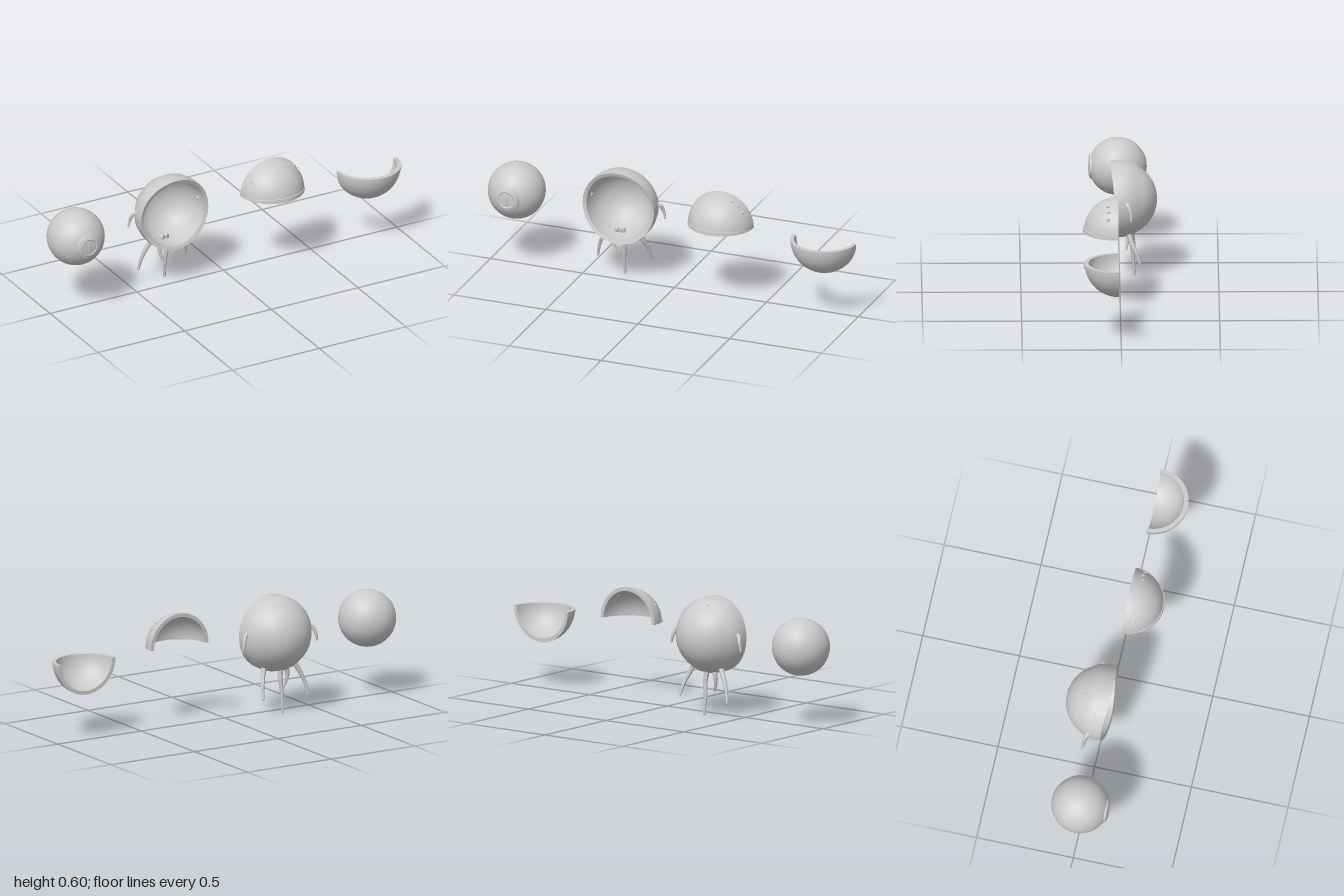
import * as THREE from 'three';
import { toCreasedNormals } from 'three/addons/utils/BufferGeometryUtils.js';

const smooth = new THREE.MeshStandardMaterial({ color: 0xcccccc, side: THREE.DoubleSide });
const flat = new THREE.MeshStandardMaterial({ color: 0xcccccc, flatShading: true });

function add(parent, name, geometry, material = smooth) {
  const mesh = new THREE.Mesh(geometry, material);
  mesh.name = name;
  parent.add(mesh);
  return mesh;
}

function arc(radius, from, to, steps) {
  return Array.from({ length: steps + 1 }, (_, i) => {
    const t = from + (to - from) * i / steps;
    return new THREE.Vector2(Math.max(0, radius * Math.sin(t)), -radius * Math.cos(t));
  });
}

// Lathe turned so that its axis points to the front
const latheZ = (points, segments) => new THREE.LatheGeometry(points, segments).rotateX(Math.PI / 2);

// Quarter-sphere lid: a closed wall section swept between poles on the x axis
function lidGeometry() {
  const section = [[0, 0.178], [0.12, 0.178], [0.13, 0.173]];
  const steps = 10, sweep = 28;
  for (let i = 1; i <= steps; i++) section.push([0.13 + (Math.PI / 2 - 0.13) * i / steps, 0.173]);
  for (let i = steps; i >= 0; i--) section.push([Math.PI / 2 * i / steps, 0.154]);
  const n = section.length, pos = [], index = [];
  for (let i = 0; i <= sweep; i++) {
    const b = (i / sweep - 0.5) * Math.PI;
    for (const [a, r] of section) {
      const rr = r > 0.175 ? 0.173 + 0.005 * Math.cos(b) : r;
      pos.push(rr * Math.sin(b), rr * Math.cos(b) * Math.sin(a), rr * Math.cos(b) * Math.cos(a));
    }
  }
  for (let i = 0; i < sweep; i++) for (let j = 0; j < n; j++) {
    const k = (j + 1) % n, p = i * n, q = p + n;
    index.push(p + j, q + j, q + k, p + j, q + k, p + k);
  }
  const g = new THREE.BufferGeometry();
  g.setAttribute('position', new THREE.Float32BufferAttribute(pos, 3));
  g.setIndex(index);
  return toCreasedNormals(g, 0.6);
}

// Faceted lump set through a wall, facing outward along its direction
function wart(parent, direction, radius, size) {
  const mesh = add(parent, 'wart', new THREE.IcosahedronGeometry(1, 0), flat);
  mesh.position.set(...direction).setLength(radius);
  mesh.lookAt(mesh.position.clone().multiplyScalar(2));
  mesh.scale.set(size, size * 0.65, 0.017);
}

// Tapered six-sided tentacle along a curve
function tentacle(parent, name, points, radius) {
  const curve = new THREE.CatmullRomCurve3(points.map(p => new THREE.Vector3(...p)));
  const rings = 6, sides = 6;
  const g = new THREE.TubeGeometry(curve, rings, 1, sides);
  const pos = g.attributes.position, v = new THREE.Vector3();
  for (let i = 0; i <= rings; i++) {
    const c = curve.getPointAt(i / rings);
    const r = radius * (1 - 0.58 * i / rings);
    for (let j = 0; j <= sides; j++) {
      const k = i * (sides + 1) + j;
      v.fromBufferAttribute(pos, k).sub(c).multiplyScalar(r).add(c);
      pos.setXYZ(k, v.x, v.y, v.z);
    }
  }
  add(parent, name, g, flat);
  for (const [t, r] of [[0, radius], [1, radius * 0.42]]) {
    const cap = add(parent, name + 'End', new THREE.IcosahedronGeometry(r * 0.95, 0), flat);
    cap.position.copy(curve.getPointAt(t));
  }
}

function group(parent, name, x, y, z) {
  const g = new THREE.Group();
  g.name = name;
  g.position.set(x, y, z);
  parent.add(g);
  return g;
}

export function createModel() {
  const model = new THREE.Group();
  model.name = 'eyeParts';

  // Eyeball with a raised iris and a slit pupil
  const eye = group(model, 'eyeball', -0.855, 0.405, 0.005);
  const profile = arc(0.147, 0, Math.PI - 0.45, 22);
  for (const [r, z] of [[0.062, 0.141], [0.044, 0.148], [0.039, 0.145], [0.02, 0.147], [0, 0.147]])
    profile.push(new THREE.Vector2(r, z));
  add(eye, 'eyeballSurface', toCreasedNormals(latheZ(profile, 36), 0.5));
  const pupil = add(eye, 'pupil', new THREE.SphereGeometry(1, 12, 8));
  pupil.scale.set(0.008, 0.034, 0.004);
  pupil.position.z = 0.146;

  // Hollow socket, open to the front, its rim swept back at the sides
  const socket = group(model, 'socket', -0.295, 0.404, 0);
  const wall = [
    ...arc(0.19, 0, 1.1, 7),
    ...[[0.186, -0.06], [0.194, -0.025], [0.195, 0.01], [0.194, 0.046], [0.176, 0.04], [0.176, 0]]
      .map(p => new THREE.Vector2(...p)),
    ...arc(0.172, 1.45, 0, 9),
  ];
  const shell = latheZ(wall, 32);
  const pos = shell.attributes.position;
  for (let i = 0; i < pos.count; i++) {
    const x = pos.getX(i), y = pos.getY(i), z = pos.getZ(i);
    if (z > 0.02) pos.setZ(i, z - 0.02 * x * x / (x * x + y * y));
  }
  add(socket, 'socketShell', toCreasedNormals(shell, 0.6));
  const socketWarts = [
    [0.12, 0.148, -0.02], [0.06, 0.165, -0.05], [0.16, 0.085, -0.02],
    [0.03, 0.16, -0.08],
  ];
  for (const [x, y, z] of socketWarts)
    for (const s of [-1, 1]) wart(socket, [s * x, y, z], 0.182, 0.015);

  // Tentacles below and beside the socket
  const bottom = [
    [[-0.085, -0.15, -0.05], [-0.115, -0.2, -0.06], [-0.14, -0.26, -0.07], [-0.153, -0.325, -0.08]],
    [[-0.035, -0.15, -0.045], [-0.05, -0.2, -0.045], [-0.048, -0.24, -0.04], [-0.035, -0.28, -0.033]],
    [[-0.008, -0.15, -0.05], [0.002, -0.22, -0.06], [-0.005, -0.31, -0.068], [-0.003, -0.398, -0.077]],
    [[0.088, -0.15, -0.045], [0.105, -0.2, -0.06], [0.122, -0.25, -0.083], [0.13, -0.31, -0.104]],
  ];
  bottom.forEach(points => tentacle(socket, 'bottomTentacle', points, 0.015));
  for (const s of [-1, 1])
    tentacle(socket, 'sideTentacle',
      [[s * 0.17, 0.025, -0.03], [s * 0.198, 0.02, -0.042], [s * 0.213, -0.015, -0.056], [s * 0.222, -0.055, -0.057]], 0.013);

  // Upper and lower lids
  const lid = lidGeometry();
  const upper = group(model, 'upperLid', 0.263, 0.405, 0.011);
  add(upper, 'upperLidShell', lid);
  for (const [x, y, z, size] of [
    [0.134, 0.095, 0.05, 0.017], [-0.134, 0.095, 0.05, 0.017],
    [0.075, 0.148, 0.054, 0.011], [-0.075, 0.148, 0.054, 0.011], [0.11, 0.13, 0.05, 0.012],
  ]) wart(upper, [x, y, z], 0.166, size);

  const lower = group(model, 'lowerLid', 0.82, 0.405, 0.011);
  add(lower, 'lowerLidShell', lid).rotation.z = Math.PI;

  return model;
}
